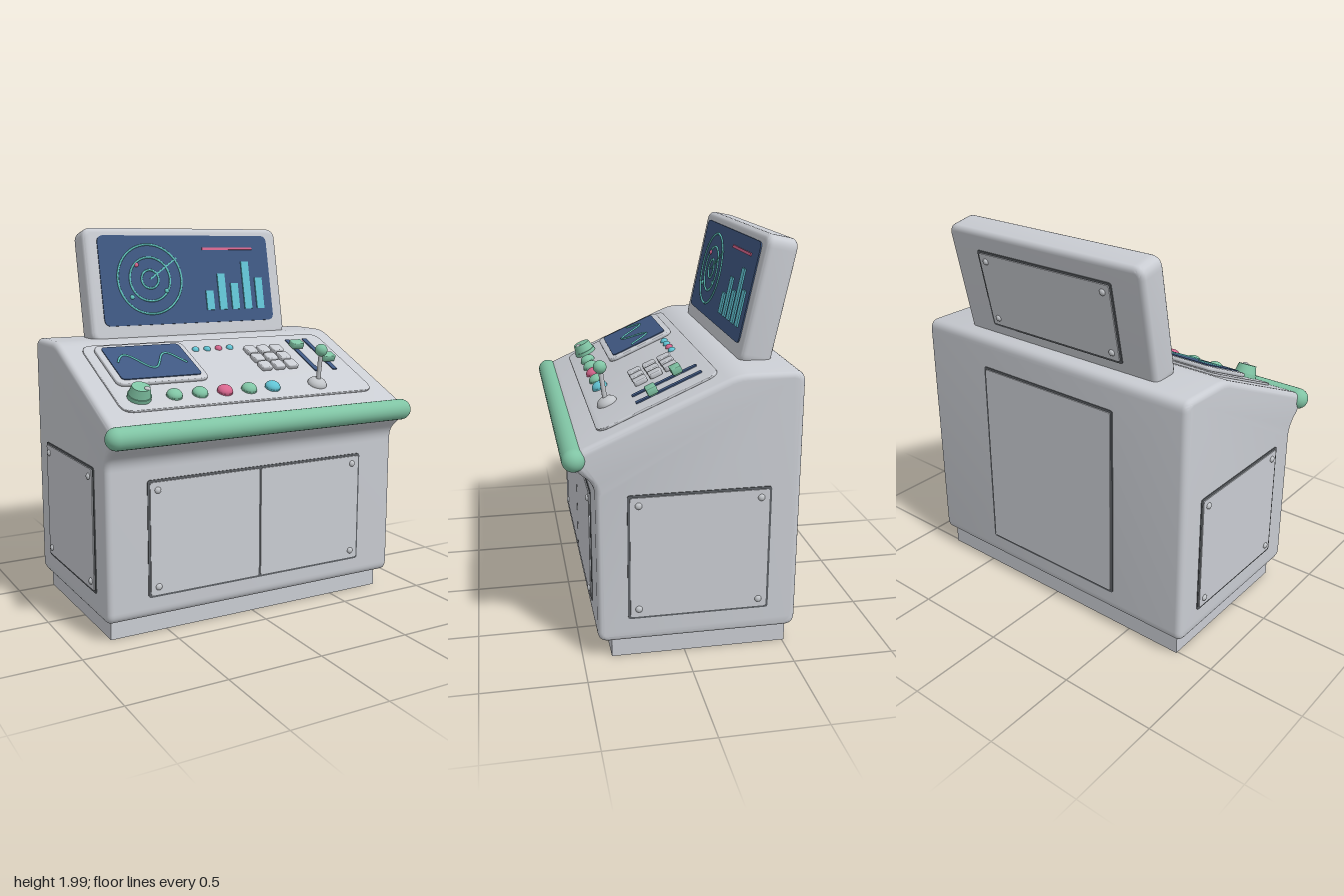
import * as THREE from 'three';
import { toCreasedNormals } from 'three/addons/utils/BufferGeometryUtils.js';

const flat = (name, color, side = THREE.FrontSide) => {
  const m = new THREE.MeshStandardMaterial({ color, side });
  m.name = name;
  return m;
};
const shell = flat('shell grey', 0xc9ccd2);
const metal = flat('metal grey', 0xc2c5c9);
const seam = flat('seam grey', 0x5c6064);
const navy = flat('screen navy', 0x3f5882);
const green = flat('soft green', 0x80c4a4);
const aqua = flat('aqua', 0x62c6c0);
const cyan = flat('cyan', 0x62c4d4);
const pink = flat('pink', 0xd8668e);

function add(parent, name, geometry, material, x = 0, y = 0, z = 0) {
  const mesh = new THREE.Mesh(geometry, material);
  mesh.name = name;
  mesh.position.set(x, y, z);
  parent.add(mesh);
  return mesh;
}

function group(parent, name, x = 0, y = 0, z = 0) {
  const g = new THREE.Group();
  g.name = name;
  g.position.set(x, y, z);
  parent.add(g);
  return g;
}

// Closed polygon with each corner softened by distance r
function roundedShape(points, r) {
  const v = points.map(p => new THREE.Vector2(...p));
  const s = new THREE.Shape();
  v.forEach((p, i) => {
    const prev = v[(i + v.length - 1) % v.length], next = v[(i + 1) % v.length];
    const toward = q => p.clone().add(q.clone().sub(p).setLength(Math.min(r, p.distanceTo(q) * 0.45)));
    const a = toward(prev), b = toward(next);
    if (i) s.lineTo(a.x, a.y); else s.moveTo(a.x, a.y);
    s.quadraticCurveTo(p.x, p.y, b.x, b.y);
  });
  s.closePath();
  return s;
}

const rect = (w, h, r) =>
  roundedShape([[-w / 2, -h / 2], [w / 2, -h / 2], [w / 2, h / 2], [-w / 2, h / 2]], r);

// Extrusion from z = 0 to z = depth, outline kept at full size
function slab(shape, depth, bevel = 0) {
  const g = new THREE.ExtrudeGeometry(shape, {
    depth: depth - 2 * bevel, curveSegments: 8, bevelEnabled: bevel > 0,
    bevelSize: bevel, bevelThickness: bevel, bevelOffset: -bevel, bevelSegments: 5,
  });
  g.translate(0, 0, bevel);
  return toCreasedNormals(g, 0.6);
}

const box = (w, h, d) => new THREE.BoxGeometry(w, h, d);
// Dome rising along +z
const dome = (r, height) =>
  new THREE.SphereGeometry(r, 24, 10, 0, Math.PI * 2, 0, Math.PI / 2).rotateX(Math.PI / 2).scale(1, 1, height / r);
// Cylinder rising along +z from z = 0
const post = (top, bottom, h) =>
  new THREE.CylinderGeometry(top, bottom, h, 28).rotateX(Math.PI / 2).translate(0, 0, h / 2);

// Cover plate with a dark seam round it and optional corner bolts
function cover(parent, name, w, h, { leaves = 1, bolts = true } = {}) {
  const g = group(parent, name);
  const gap = 0.012, leaf = (w - gap * (leaves + 1)) / leaves;
  add(g, 'seam', slab(rect(w, h, 0.015), 0.004), seam);
  for (let i = 0; i < leaves; i++) {
    add(g, 'coverPlate', slab(rect(leaf, h - 2 * gap, 0.012), 0.009), shell, -w / 2 + gap + leaf / 2 + i * (leaf + gap));
  }
  if (bolts) {
    for (const sx of [-1, 1]) for (const sy of [-1, 1]) {
      add(g, 'bolt', dome(0.017, 0.013), metal, sx * (w / 2 - 0.052), sy * (h / 2 - 0.052), 0.008);
    }
  }
  return g;
}

function buildCabinet(root) {
  add(root, 'plinth', box(1.6, 0.12, 0.87), shell, 0, 0.06, -0.075);
  const profile = roundedShape([
    [-0.55, 0.1], [0.43, 0.1], [0.43, 0.91], [0.53, 0.99], [0.525, 1.068], [-0.233, 1.405], [-0.55, 1.405],
  ], 0.055);
  const body = slab(profile, 1.68, 0.03);
  body.translate(0, 0, -0.84).rotateY(-Math.PI / 2);
  add(root, 'cabinet', body, shell);

  // Rounded hand rail
  const rail = new THREE.CapsuleGeometry(0.055, 1.635, 10, 24).rotateZ(Math.PI / 2);
  add(root, 'handRail', rail, green, 0, 1.035, 0.524);

  // Doors and cover plates
  cover(root, 'frontDoors', 1.25, 0.59, { leaves: 2 }).position.set(-0.003, 0.503, 0.43);
  for (const s of [-1, 1]) {
    const side = cover(root, s > 0 ? 'leftCover' : 'rightCover', 0.69, 0.635);
    side.position.set(s * 0.84, 0.537, -0.06);
    side.rotation.y = s * Math.PI / 2;
  }
  const back = cover(root, 'backCover', 0.85, 1.03, { bolts: false });
  back.position.set(0, 0.73, -0.55);
  back.rotation.y = Math.PI;
}

function buildDeck(root) {
  const slope = Math.atan(0.445), midZ = 0.115;
  const deck = group(root, 'controlDeck', 0, 1.25, midZ);
  deck.rotation.x = slope - Math.PI / 2;
  const up = z => (midZ - z) / Math.cos(slope); // plan depth to distance up the slope
  const top = 0.013;
  add(deck, 'deckPlate', slab(rect(1.46, 0.625, 0.07), top, 0.004), shell);

  // Small wave display
  const display = group(deck, 'waveDisplay', -0.427, up(0.04), top);
  add(display, 'displayFrame', slab(rect(0.505, 0.378, 0.05), 0.022, 0.008), shell);
  add(display, 'displayGlass', slab(rect(0.44, 0.315, 0.025), 0.006), navy, 0, 0, 0.021);
  const wave = [];
  for (let i = 0; i <= 40; i++) {
    wave.push(new THREE.Vector3(-0.187 + 0.375 * i / 40, 0.068 * Math.sin(i / 40 * 1.62 * Math.PI * 2 - 0.1), 0.028));
  }
  add(display, 'waveTrace', new THREE.TubeGeometry(new THREE.CatmullRomCurve3(wave), 80, 0.006, 6), aqua);

  // Indicator lamps and push buttons
  [cyan, cyan, pink, cyan].forEach((m, i) => add(deck, 'lamp', dome(0.02, 0.018), m, -0.11 + i * 0.07, up(-0.073), top));
  [green, green, pink, green, cyan].forEach((m, i) => {
    add(deck, 'buttonCollar', post(0.041, 0.041, 0.008), m, -0.425 + i * 0.141, up(0.312), top);
    add(deck, 'pushButton', dome(0.04, 0.027), m, -0.425 + i * 0.141, up(0.312), top + 0.008);
  });

  // Keypad
  const key = slab(rect(0.066, 0.07, 0.015), 0.026, 0.006);
  for (let r = 0; r < 3; r++) for (let c = 0; c < 3; c++) {
    add(deck, 'key', key, shell, 0.199 + c * 0.082, up(-0.018 + r * 0.076), top);
  }

  // Sliders
  for (const [x, z] of [[0.498, -0.025], [0.615, 0.115]]) {
    add(deck, 'sliderSlot', slab(rect(0.028, 0.345, 0.008), 0.006), navy, x, up(0.042), top);
    add(deck, 'sliderStem', box(0.03, 0.03, 0.03), green, x, up(z), top + 0.018);
    add(deck, 'sliderHandle', slab(rect(0.072, 0.052, 0.008), 0.036, 0.005), green, x, up(z), top + 0.012);
  }

  // Rotary knob
  const knob = group(deck, 'rotaryKnob', -0.61, up(0.305), top);
  add(knob, 'knobSkirt', post(0.06, 0.06, 0.02), green);
  add(knob, 'knobBody', post(0.046, 0.056, 0.045), green, 0, 0, 0.02);
  add(knob, 'knobMark', dome(0.015, 0.009), metal, 0.024, -0.022, 0.065);

  // Joystick
  add(deck, 'joystickBase', dome(0.052, 0.035), metal, 0.418, up(0.312), top);
  const from = new THREE.Vector3(0.418, 1.18, 0.325), to = new THREE.Vector3(0.418, 1.357, 0.35);
  add(root, 'joystickStem', new THREE.TubeGeometry(new THREE.LineCurve3(from, to), 1, 0.012, 14), metal);
  add(root, 'joystickBall', new THREE.SphereGeometry(0.033, 24, 16), green, to.x, to.y, to.z);
}

function buildMonitor(root) {
  const tilt = THREE.MathUtils.degToRad(12);
  const monitor = group(root, 'monitor', 0, 1.71, -0.362);
  monitor.rotation.x = -tilt;
  const v = y => (y - 1.71) / Math.cos(tilt);
  add(monitor, 'monitorCase', slab(rect(1.21, 0.63, 0.06), 0.155, 0.03), shell, 0, -0.021, -0.155);
  add(monitor, 'monitorGlass', slab(rect(1.06, 0.494, 0.04), 0.006), navy, 0, 0, 0);
  const front = 0.007;

  // Radar plot
  const radar = group(monitor, 'radarPlot', -0.24, v(1.714), front);
  for (const r of [0.192, 0.121, 0.051]) add(radar, 'radarRing', new THREE.TorusGeometry(r, 0.006, 6, 56), aqua);
  const sweep = add(radar, 'radarSweep', box(0.205, 0.008, 0.008), aqua, 0.085, 0.058);
  sweep.rotation.z = 0.6;
  for (const [x, y, m] of [[-0.075, 0.08, pink], [-0.117, -0.097, aqua], [0.095, -0.066, aqua]]) {
    add(radar, 'radarBlip', dome(0.013, 0.01), m, x, y);
  }

  // Bar chart and heading line
  [0.11, 0.205, 0.15, 0.275, 0.18].forEach((h, i) => {
    add(monitor, 'chartBar', box(0.048, h, 0.009), cyan, 0.12 + i * 0.082, v(1.536) + h / 2, front + 0.002);
  });
  add(monitor, 'headingLine', box(0.325, 0.014, 0.009), pink, 0.26, v(1.878), front + 0.002);

  // Rear service cover
  const rear = cover(monitor, 'monitorRearCover', 0.84, 0.42);
  rear.position.set(0, -0.02, -0.155);
  rear.rotation.y = Math.PI;
}

export function createModel() {
  const root = new THREE.Group();
  root.name = 'controlConsole';
  buildCabinet(root);
  buildDeck(root);
  buildMonitor(root);
  return root;
}
